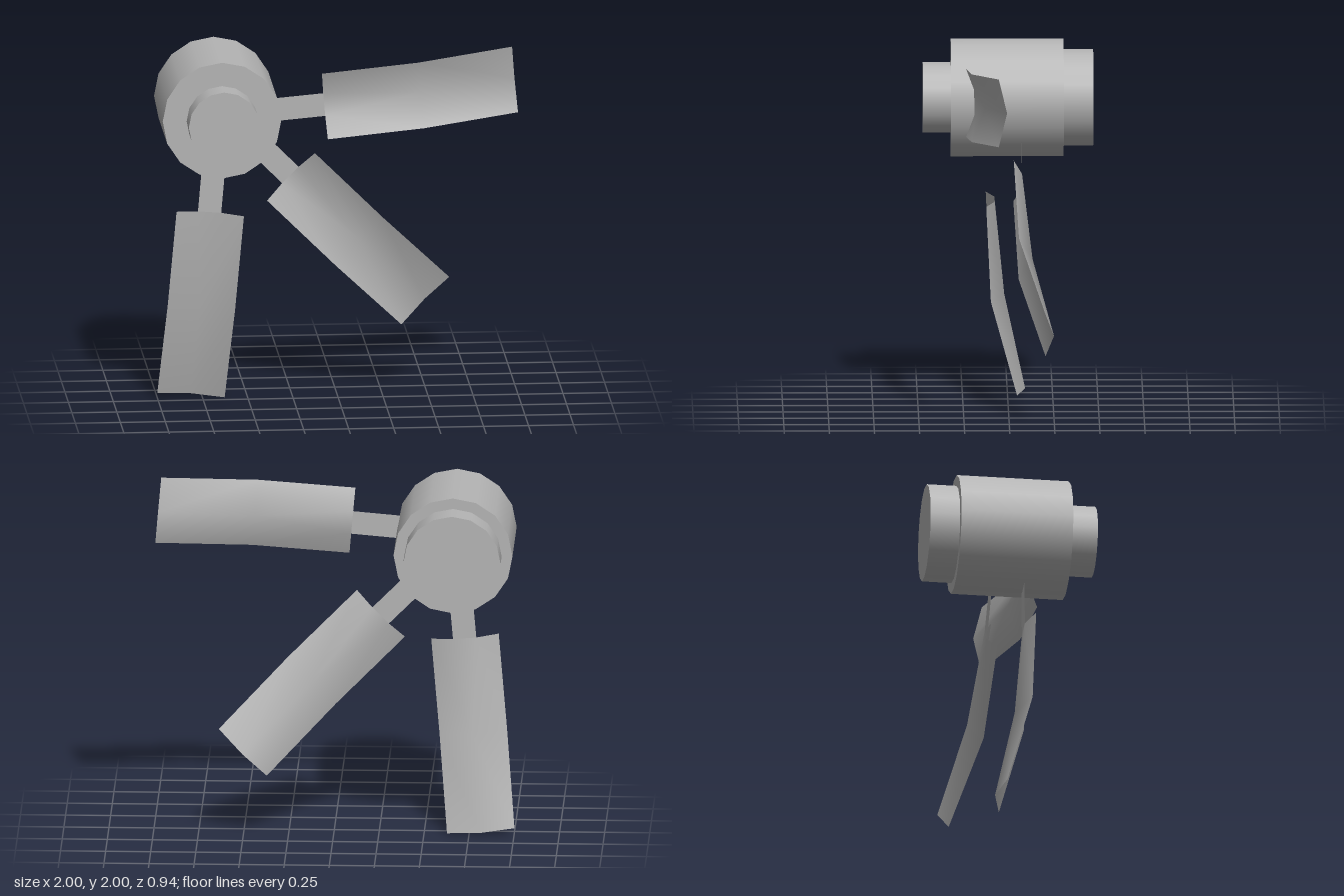
import * as THREE from 'three';

const HUB_X = -0.67, HUB_Y = 1.67;

// Indexed, smooth-shaded sheet from points [along, across, depth]
function sheet(points, index) {
  const geo = new THREE.BufferGeometry();
  geo.setAttribute('position', new THREE.Float32BufferAttribute(points.flat(), 3));
  geo.setIndex(index);
  geo.computeVertexNormals();
  return geo;
}

export function createModel() {
  const model = new THREE.Group();
  model.name = 'rotor';
  const metal = new THREE.MeshStandardMaterial({ color: 0xb4b4b4, side: THREE.DoubleSide });
  metal.name = 'grey metal';

  // Hub: three coaxial cylinders along z
  const drum = (name, radius, z0, z1) => {
    const geo = new THREE.CylinderGeometry(radius, radius, z1 - z0, 16).rotateX(Math.PI / 2);
    const mesh = new THREE.Mesh(geo, metal);
    mesh.name = name;
    mesh.position.set(HUB_X, HUB_Y, (z0 + z1) / 2);
    model.add(mesh);
  };
  drum('hubDrum', 0.33, -0.31, 0.315);
  drum('frontCap', 0.197, 0.315, 0.47);
  drum('backCap', 0.27, -0.475, -0.31);

  // Blade: flat-bottomed trough at the root, V-shaped at the bend and tip
  const W = 0.188, S = 0.065, ROOT = 0.58, BEND = 1.12, TIP = 1.655;
  const bladeGeo = sheet([
    [ROOT, -W, 0.234], [ROOT, -S, 0.187], [ROOT, S, 0.187], [ROOT, W, 0.234],
    [BEND, -W, 0.208], [BEND, 0, 0.132], [BEND, W, 0.208],
    [TIP, -W, 0.062], [TIP, 0, 0.016], [TIP, W, 0.062],
  ], [
    0, 4, 1, 1, 4, 5, 1, 5, 2, 2, 5, 3, 3, 5, 6,
    4, 7, 5, 5, 7, 8, 5, 8, 6, 6, 8, 9,
  ]);
  const stemGeo = sheet([
    [0.3, -S, 0.187], [ROOT, -S, 0.187], [ROOT, S, 0.187], [0.3, S, 0.187],
  ], [0, 1, 2, 0, 2, 3]);

  // Three blades, fanned out and staggered in depth
  [['upper', 5, 0], ['middle', -45, -0.264], ['lower', -95, -0.115]].forEach(([name, angle, z]) => {
    const arm = new THREE.Group();
    arm.name = name + 'Arm';
    const blade = new THREE.Mesh(bladeGeo, metal);
    blade.name = name + 'Blade';
    const stem = new THREE.Mesh(stemGeo, metal);
    stem.name = name + 'Stem';
    arm.add(blade, stem);
    arm.position.set(HUB_X, HUB_Y, z);
    arm.rotation.z = THREE.MathUtils.degToRad(angle);
    model.add(arm);
  });
  return model;
}
